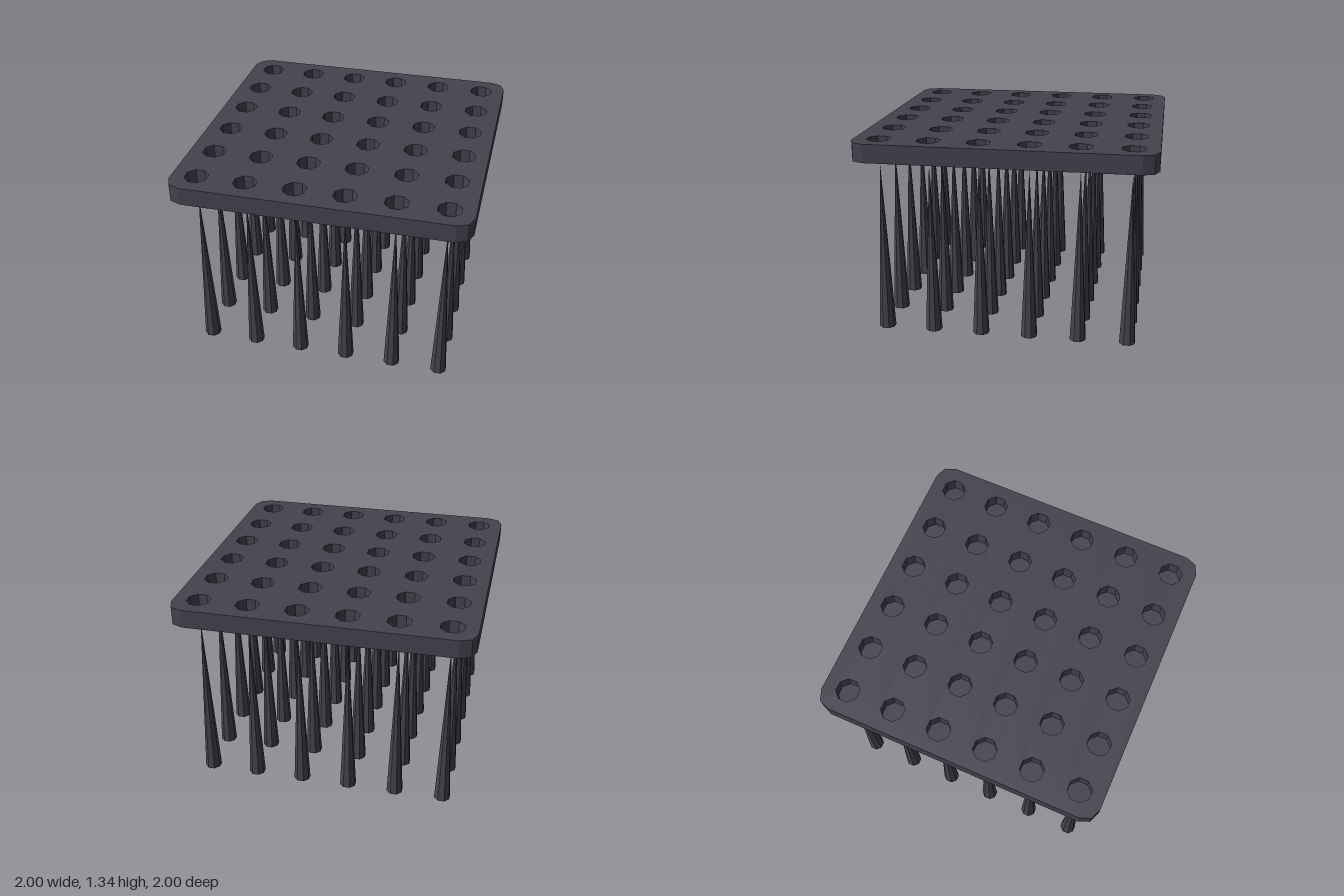
import * as THREE from 'three';

const COUNT = 6, SPACING = 1 / 3;
const PLATE_BOTTOM = 1.215, PLATE_TOP = 1.34, HOLE_DEPTH = 0.1;
const HOLE_APOTHEM = 0.075, SPIKE_APOTHEM = 0.0525, SPIKE_HEIGHT = 1.18;
const toRadius = (apothem) => apothem / Math.cos(Math.PI / 8);

// Grid of positions shared by the holes and the spikes
function gridPoints() {
  const points = [];
  for (let i = 0; i < COUNT; i++) {
    for (let j = 0; j < COUNT; j++) {
      points.push([(i - (COUNT - 1) / 2) * SPACING, (j - (COUNT - 1) / 2) * SPACING]);
    }
  }
  return points;
}

// Square outline with two-step chamfered corners
function plateShape() {
  const corner = [[1, 0.895], [0.97, 0.97], [0.895, 1]];
  const points = [];
  for (let k = 0; k < 4; k++) {
    for (const [x, y] of corner) {
      points.push(new THREE.Vector2(x, y).rotateAround(new THREE.Vector2(), k * Math.PI / 2));
    }
  }
  return new THREE.Shape(points);
}

// Octagon with flat sides facing the axes
function octagonHole(cx, cy) {
  const r = toRadius(HOLE_APOTHEM), points = [];
  for (let k = 0; k < 8; k++) {
    const a = -(k + 0.5) * Math.PI / 4;
    points.push(new THREE.Vector2(cx + r * Math.cos(a), cy + r * Math.sin(a)));
  }
  return new THREE.Path(points);
}

function layer(name, shape, bottom, top, material) {
  const geometry = new THREE.ExtrudeGeometry(shape, { depth: top - bottom, bevelEnabled: false });
  geometry.rotateX(-Math.PI / 2).translate(0, bottom, 0);
  const mesh = new THREE.Mesh(geometry, material);
  mesh.name = name;
  return mesh;
}

export function createModel() {
  const model = new THREE.Group();
  model.name = 'spikeTrap';
  const material = new THREE.MeshStandardMaterial({ color: 0x45424f, flatShading: true });

  // Plate: a perforated upper layer over a thin closed floor
  const plate = new THREE.Group();
  plate.name = 'plate';
  const perforated = plateShape();
  for (const [x, z] of gridPoints()) perforated.holes.push(octagonHole(x, z));
  const floorTop = PLATE_TOP - HOLE_DEPTH;
  plate.add(layer('perforatedPlate', perforated, floorTop, PLATE_TOP, material));
  plate.add(layer('plateFloor', plateShape(), PLATE_BOTTOM, floorTop, material));
  model.add(plate);

  // Spikes: one tall octagonal cone under each hole
  const spikes = new THREE.Group();
  spikes.name = 'spikes';
  const cone = new THREE.ConeGeometry(toRadius(SPIKE_APOTHEM), SPIKE_HEIGHT, 8);
  cone.rotateY(Math.PI / 8).translate(0, SPIKE_HEIGHT / 2, 0);
  for (const [x, z] of gridPoints()) {
    const spike = new THREE.Mesh(cone, material);
    spike.name = 'spike';
    spike.position.set(x, 0, z);
    spikes.add(spike);
  }
  model.add(spikes);
  return model;
}
